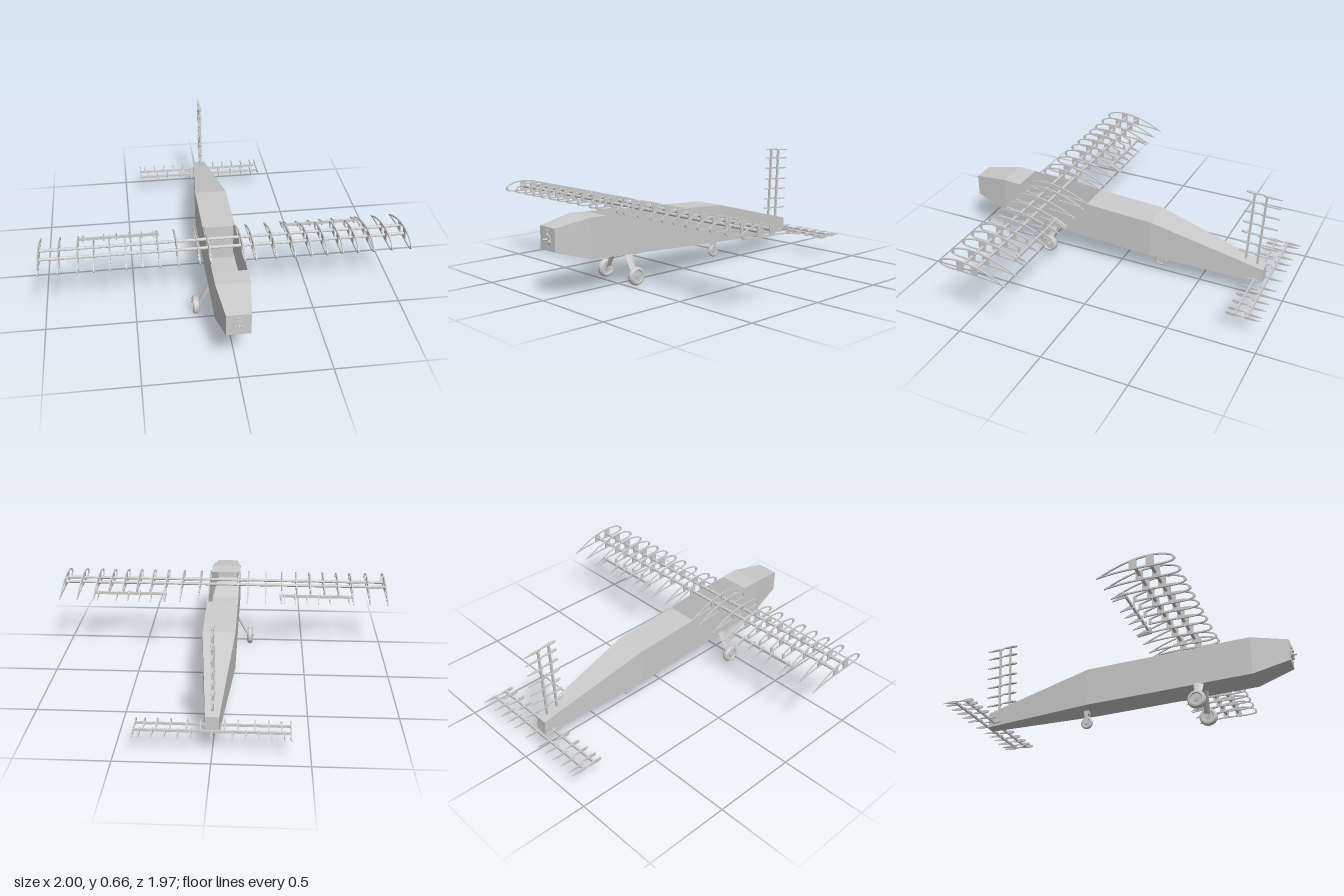
import * as THREE from 'three';

const mat = new THREE.MeshStandardMaterial({ color: 0xcccccc, flatShading: true, side: THREE.DoubleSide });

function add(parent, name, geo, x = 0, y = 0, z = 0) {
  const m = new THREE.Mesh(geo, mat);
  m.name = name;
  m.position.set(x, y, z);
  parent.add(m);
  return m;
}

// Straight round bar between two points
function bar(parent, name, a, b, r0, r1 = r0, sides = 10) {
  const A = new THREE.Vector3(...a), B = new THREE.Vector3(...b);
  const dir = B.clone().sub(A);
  const m = add(parent, name, new THREE.CylinderGeometry(r1, r0, dir.length(), sides));
  m.position.copy(A).add(B).multiplyScalar(0.5);
  m.quaternion.setFromUnitVectors(new THREE.Vector3(0, 1, 0), dir.normalize());
  return m;
}

// Plate cut from a (z, y) outline, thickness along x
function plate(outline, holes, thick) {
  const s = new THREE.Shape(outline);
  for (const h of holes) s.holes.push(new THREE.Path(h));
  return new THREE.ExtrudeGeometry(s, { depth: thick, bevelEnabled: false })
    .translate(0, 0, -thick / 2).rotateY(-Math.PI / 2);
}

// Wing section between z0 and z1, shrunk by inset
const NOSE = 0.578, CHORD = 0.4;
function section(z0, z1, inset = 0, n = 14) {
  const top = [], bottom = [];
  for (let i = 0; i <= n; i++) {
    const z = z0 + (z1 - z0) * (0.5 - 0.5 * Math.cos(Math.PI * i / n));
    const c = Math.min(1, Math.max(0, (NOSE - z) / CHORD));
    const mid = 0.43 - 0.043 * c + 0.107 * c * (1 - c);
    const half = 0.85 * CHORD * (0.2969 * Math.sqrt(c) - 0.126 * c - 0.3516 * c ** 2 + 0.2843 * c ** 3 - 0.1015 * c ** 4);
    const h = Math.max(0.0015, half - inset);
    top.push(new THREE.Vector2(z, mid + h));
    bottom.push(new THREE.Vector2(z, mid - h));
  }
  return [...bottom, ...top.reverse()];
}

// Small streamlined tail rib running from z0 (blunt) to z1 (sharp)
function leaf(z0, z1, t) {
  const side = [[0, 0.2], [0.12, 0.42], [0.35, 0.5], [0.7, 0.28], [1, 0.05]];
  const pt = ([u, h], s) => new THREE.Vector2(z0 + (z1 - z0) * u, s * h * t);
  return plate([...side.map(p => pt(p, 1)), ...side.map(p => pt(p, -1)).reverse()], [], 0.007);
}

// Square-section fuselage skin, left open over the cockpit
function fuselageSkin() {
  const rows = [ // z, half width, bottom, top
    [0.96, 0.065, 0.26, 0.385], [0.75, 0.093, 0.195, 0.42], [0.64, 0.093, 0.19, 0.415],
    [0.18, 0.093, 0.165, 0.39], [-0.22, 0.093, 0.145, 0.37], [-0.88, 0.036, 0.11, 0.2]];
  const rings = rows.map(([z, w, b, t]) => [[-w, b, z], [w, b, z], [w, t, z], [-w, t, z]]);
  const pos = [];
  const quad = (a, b, c, d) => pos.push(...a, ...b, ...c, ...a, ...c, ...d);
  for (let i = 0; i < rings.length - 1; i++) {
    for (let k = 0; k < 4; k++) {
      if (i === 2 && k === 2) continue;
      const A = rings[i], B = rings[i + 1], n = (k + 1) % 4;
      quad(A[k], B[k], B[n], A[n]);
    }
  }
  quad(...rings[0]);
  quad(...rings[rings.length - 1].slice().reverse());
  const g = new THREE.BufferGeometry();
  g.setAttribute('position', new THREE.Float32BufferAttribute(pos, 3));
  g.computeVertexNormals();
  return g;
}

function wheel(parent, name, x, y, z, r, w) {
  const g = new THREE.Group();
  g.name = name;
  g.position.set(x, y, z);
  const k = w / 2;
  const profile = [[0.3, -0.7], [0.6, -0.7], [0.68, -1], [0.88, -0.9], [1, -0.4],
    [1, 0.4], [0.88, 0.9], [0.68, 1], [0.6, 0.7], [0.3, 0.7]]
    .map(([a, b]) => new THREE.Vector2(a * r, b * k));
  add(g, 'tyre', new THREE.LatheGeometry(profile, 24).rotateZ(Math.PI / 2));
  add(g, 'hub', new THREE.CylinderGeometry(r * 0.32, r * 0.32, w * 1.1, 12).rotateZ(Math.PI / 2));
  parent.add(g);
}

export function createModel() {
  const model = new THREE.Group();
  const group = name => { const g = new THREE.Group(); g.name = name; model.add(g); return g; };

  // Fuselage
  const body = group('fuselage');
  add(body, 'fuselageSkin', fuselageSkin());
  add(body, 'rearBulkhead', new THREE.BoxGeometry(0.166, 0.215, 0.014), 0, 0.281, 0.182);
  add(body, 'cockpitTray', new THREE.BoxGeometry(0.094, 0.012, 0.15), 0, 0.215, 0.555);

  // Motor on the nose
  const motor = group('motor');
  add(motor, 'mountPlate', new THREE.CylinderGeometry(0.03, 0.03, 0.006, 20).rotateX(Math.PI / 2), 0, 0.32, 0.962);
  for (let i = 0; i < 3; i++) {
    const a = Math.PI / 2 + i * Math.PI * 2 / 3;
    add(motor, 'mountLug', new THREE.CylinderGeometry(0.011, 0.011, 0.012, 12).rotateX(Math.PI / 2),
      0.022 * Math.cos(a), 0.32 + 0.022 * Math.sin(a), 0.966);
  }
  add(motor, 'shaft', new THREE.CylinderGeometry(0.004, 0.009, 0.028, 12).rotateX(Math.PI / 2), 0, 0.32, 0.975);
  add(motor, 'noseBracket', new THREE.BoxGeometry(0.022, 0.018, 0.008), 0, 0.364, 0.963);

  // Wing: two spars and pierced ribs, with shorter ribs ahead of the ailerons
  const wing = group('wing');
  for (const z of [0.445, 0.365]) bar(wing, 'wingSpar', [-1, 0.436, z], [1, 0.436, z], 0.009);
  const frontHoles = [section(0.47, 0.562, 0.008), section(0.382, 0.43, 0.009)];
  const fullRib = plate(section(0.178, NOSE), [...frontHoles, section(0.21, 0.345, 0.007)], 0.007);
  const shortRib = plate(section(0.27, NOSE), [...frontHoles, section(0.285, 0.345, 0.008)], 0.007);
  const aileronRib = plate(section(0.178, 0.258), [], 0.006);
  for (const s of [-1, 1]) {
    for (const x of [0.09, 0.15, 0.26, 0.36, 0.79, 0.89, 0.996]) add(wing, 'wingRib', fullRib, s * x);
    for (const x of [0.45, 0.535, 0.62, 0.705]) add(wing, 'shortWingRib', shortRib, s * x);
    const aileron = group(s > 0 ? 'leftAileron' : 'rightAileron');
    for (const x of [0.352, 0.375, 0.44, 0.51, 0.58, 0.65, 0.765]) add(aileron, 'aileronRib', aileronRib, s * x);
    add(aileron, 'aileronSpar', new THREE.BoxGeometry(0.45, 0.016, 0.01), s * 0.57, 0.411, 0.246);
  }

  // Tailplane and elevator
  const tail = group('tailplane');
  for (const z of [-0.838, -0.907]) add(tail, 'tailSpar', new THREE.BoxGeometry(0.8, 0.012, 0.01), 0, 0.133, z);
  const stabRib = leaf(-0.79, -0.89, 0.02), elevatorRib = leaf(-0.89, -0.985, 0.016);
  for (const s of [-1, 1]) {
    for (const x of [0.06, 0.13, 0.215, 0.285, 0.35, 0.397]) add(tail, 'stabiliserRib', stabRib, s * x, 0.133);
    for (const x of [0.105, 0.17, 0.235, 0.3, 0.365, 0.397]) add(tail, 'elevatorRib', elevatorRib, s * x, 0.133);
  }
  add(tail, 'elevatorRib', elevatorRib, 0, 0.133);

  // Fin and rudder, leaning slightly back
  const fin = group('fin');
  fin.position.set(0, 0.2, -0.765);
  fin.rotation.x = -0.045;
  add(fin, 'finSpar', new THREE.BoxGeometry(0.012, 0.455, 0.011), 0, 0.228, 0);
  add(fin, 'rudderSpar', new THREE.BoxGeometry(0.012, 0.455, 0.011), 0, 0.228, -0.068);
  const finRib = leaf(0.045, -0.055, 0.02).rotateZ(Math.PI / 2);
  const rudderRib = leaf(-0.05, -0.155, 0.016).rotateZ(Math.PI / 2);
  for (const y of [0.075, 0.135, 0.2, 0.265, 0.335, 0.4, 0.455]) {
    add(fin, 'finRib', finRib, 0, y, 0);
    add(fin, 'rudderRib', rudderRib, 0, y - 0.004, 0);
  }

  // Main gear: flat tapered legs splayed outwards, set slightly off centre
  const gear = group('mainGear');
  const GX = -0.033;
  for (const s of [-1, 1]) {
    const leg = bar(gear, 'gearLeg', [GX + s * 0.05, 0.19, 0.445], [GX + s * 0.118, 0.06, 0.45], 0.03, 0.016, 12);
    leg.scale.x = 0.25;
    bar(gear, 'axle', [GX + s * 0.105, 0.056, 0.45], [GX + s * 0.158, 0.056, 0.45], 0.007);
    wheel(gear, 'mainWheel', GX + s * 0.133, 0.054, 0.45, 0.052, 0.036);
  }

  // Tail wheel in a fork
  const rear = group('tailWheelUnit');
  wheel(rear, 'tailWheel', 0, 0.07, -0.255, 0.036, 0.02);
  for (const s of [-1, 1]) add(rear, 'forkArm', new THREE.BoxGeometry(0.004, 0.07, 0.022), s * 0.015, 0.093, -0.255);
  add(rear, 'forkCrown', new THREE.BoxGeometry(0.034, 0.024, 0.028), 0, 0.133, -0.255);

  return model;
}
